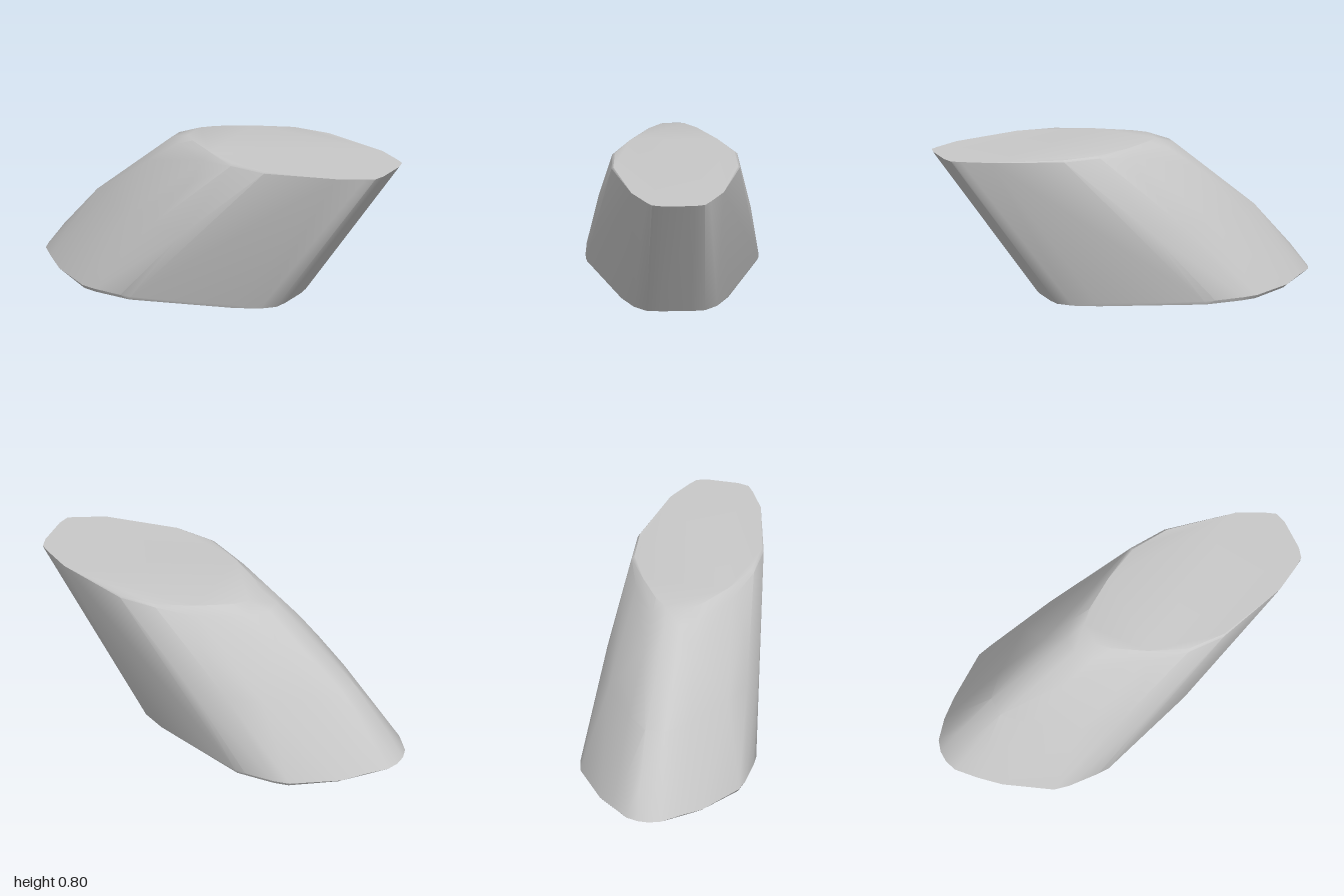
import * as THREE from 'three';
import { ConvexGeometry } from 'three/addons/geometries/ConvexGeometry.js';
import { toCreasedNormals } from 'three/addons/utils/BufferGeometryUtils.js';

// Half outlines [x, z] of the leaning block at each height, nose (-x) to tail (+x)
const sections = [
  { y: 0, half: [[-0.84, 0.06], [-0.83, 0.15], [-0.78, 0.255], [-0.57, 0.405], [-0.49, 0.422], [-0.29, 0.433], [0.23, 0.272], [0.35, 0.213], [0.41, 0.15], [0.42, 0.08]] },
  { y: 0.018, half: [[-0.8, 0.265], [-0.58, 0.412], [-0.5, 0.43], [-0.34, 0.44], [-0.28, 0.439], [0.24, 0.275], [0.36, 0.213], [0.42, 0.15]] },
  { y: 0.04, half: [[-1, 0.03], [-0.98, 0.09], [-0.9, 0.18]] },
  { y: 0.17, half: [[-0.9, 0.04], [-0.84, 0.13]] },
  { y: 0.4, half: [[-0.7, 0.05], [-0.59, 0.16], [-0.37, 0.31], [-0.2, 0.375], [0, 0.393]] },
  { y: 0.65, half: [[-0.4, 0.06], [-0.35, 0.13], [0, 0.31]] },
  { y: 0.76, half: [[-0.27, 0.04], [-0.2, 0.12], [0.03, 0.25], [0.22, 0.32]] },
  { y: 0.79, half: [[0.24, 0.318], [0.44, 0.327], [0.79, 0.237], [0.97, 0.145]] },
  { y: 0.8, half: [[-0.16, 0.06], [-0.1, 0.12], [0.06, 0.22], [0.25, 0.305], [0.45, 0.318], [0.81, 0.235], [0.94, 0.165], [0.985, 0.135], [1, 0.08]] },
];

export function createModel() {
  const group = new THREE.Group();
  const stone = new THREE.MeshStandardMaterial({ color: 0xc8c8c8 });
  stone.name = 'stone grey';

  // Mirror each outline across z = 0 and wrap all the corners in one convex skin
  const points = [];
  for (const { y, half } of sections) {
    for (const [x, z] of half) {
      points.push(new THREE.Vector3(x, y, z), new THREE.Vector3(x, y, -z));
    }
  }

  // Soft shading around the sides, sharp rims at the flat top and base
  const block = new THREE.Mesh(toCreasedNormals(new ConvexGeometry(points), 0.6), stone);
  block.name = 'leaningBlock';
  group.add(block);
  return group;
}
